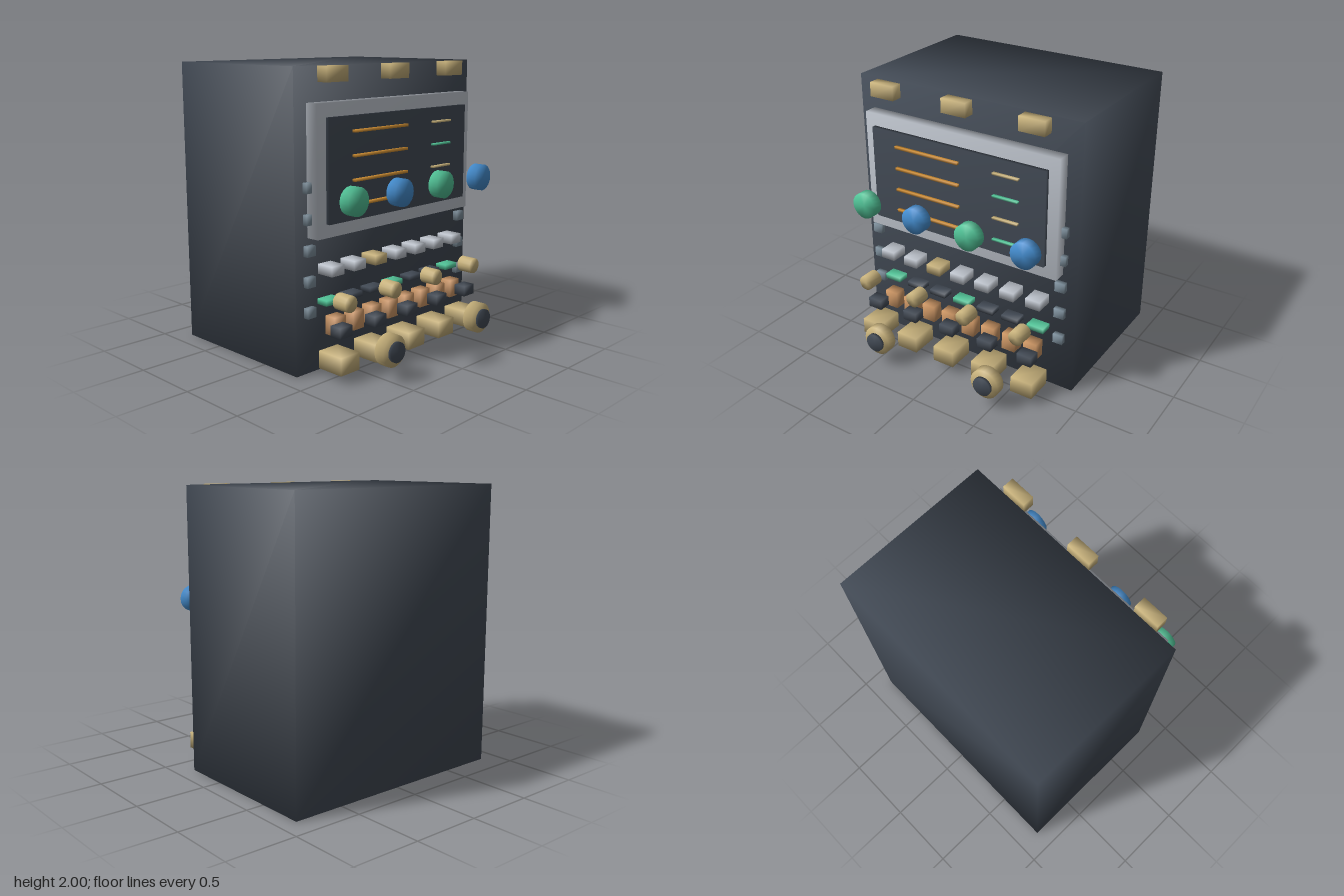
import * as THREE from 'three';
import { mergeVertices } from 'three/addons/utils/BufferGeometryUtils.js';

const mat = (name, color) => {
  const m = new THREE.MeshStandardMaterial({ color });
  m.name = name;
  return m;
};

// Weld corners so the shading rolls softly over every edge
function soften(geo) {
  geo.deleteAttribute('uv');
  geo.deleteAttribute('normal');
  const g = mergeVertices(geo, 1e-4);
  g.computeVertexNormals();
  return g;
}

export function createModel() {
  const dark = mat('dark slate', 0x434b56);
  const silver = mat('silver', 0xc0c6cf);
  const steel = mat('steel blue', 0x80929f);
  const gold = mat('pale gold', 0xc8b27c);
  const copper = mat('copper', 0xd39b68);
  const amber = mat('amber', 0xcc8c32);
  const green = mat('green', 0x52c498);
  const blue = mat('blue', 0x458ed0);

  const model = new THREE.Group();
  model.name = 'controlCabinet';

  const add = (name, geo, material, x, y, z) => {
    const mesh = new THREE.Mesh(soften(geo), material);
    mesh.name = name;
    mesh.position.set(x, y, z);
    model.add(mesh);
  };
  // Box given by centre x, y, size w, h and its depth range back..front
  const box = (name, material, x, y, w, h, back, front) =>
    add(name, new THREE.BoxGeometry(w, h, front - back), material, x, y, (back + front) / 2);
  // Round knob facing the front
  const knob = (name, material, x, y, r, back, front, sides) =>
    add(name, new THREE.CylinderGeometry(r, r, front - back, sides).rotateX(Math.PI / 2),
      material, x, y, (back + front) / 2);
  // Evenly spaced row
  const row = (count, start, step, fn) => {
    for (let i = 0; i < count; i++) fn(start + i * step, i);
  };

  // Cabinet
  box('cabinet', dark, 0, 1, 1.74, 2, -0.838, 0.322);

  // Blocks along the top edge
  row(3, -0.6, 0.583, (x) => box('topBlock', gold, x, 1.95, 0.19, 0.1, 0.352, 0.436));

  // Display frame, screen and readout lines
  box('screenFrame', silver, 0, 1.343, 1.53, 0.86, 0.322, 0.418);
  box('screen', dark, 0, 1.344, 1.375, 0.68, 0.418, 0.449);
  row(4, 1.586, -0.159, (y, i) => {
    box('longReadout', amber, -0.225, y, 0.515, 0.018, 0.45, 0.474);
    box('shortReadout', i % 2 ? green : gold, 0.4, y, 0.19, 0.014, 0.45, 0.474);
  });

  // Side clips
  row(5, 1.243, -0.205, (y) => {
    for (const x of [-0.772, 0.766]) box('sideClip', steel, x, y, 0.074, 0.069, 0.331, 0.368);
  });

  // Large coloured knobs
  row(4, -0.636, 0.428, (x, i) =>
    knob('colourKnob', i % 2 ? blue : green, x, 1.174, 0.094, 0.579, 0.653, 20));

  // Push buttons with indicator strips beneath
  row(7, -0.618, 0.205, (x, i) => {
    box('pushButton', i === 2 ? gold : silver, x, 0.692, 0.112, 0.067, 0.322, 0.452);
    box('indicatorStrip', i % 3 ? dark : green, x, 0.474, 0.13, 0.037, 0.322, 0.41);
  });

  // Small gold knobs
  row(4, -0.686, 0.427, (x) => knob('smallKnob', gold, x, 0.523, 0.056, 0.527, 0.637, 16));

  // Copper blocks and the dark toggles in front of them
  row(8, -0.603, 0.172, (x) => box('copperBlock', copper, x, 0.317, 0.103, 0.127, 0.368, 0.457));
  row(5, -0.667, 0.323, (x) => box('toggle', dark, x, 0.318, 0.112, 0.074, 0.484, 0.575));

  // Bottom gold blocks
  row(5, -0.672, 0.326, (x) => box('bottomBlock', gold, x, 0.116, 0.168, 0.119, 0.41, 0.616));

  // Large dials with dark caps
  for (const x of [-0.465, 0.458]) {
    knob('dial', gold, x, 0.197, 0.108, 0.733, 0.807, 24);
    knob('dialCap', dark, x, 0.197, 0.069, 0.817, 0.84, 20);
  }
  return model;
}
